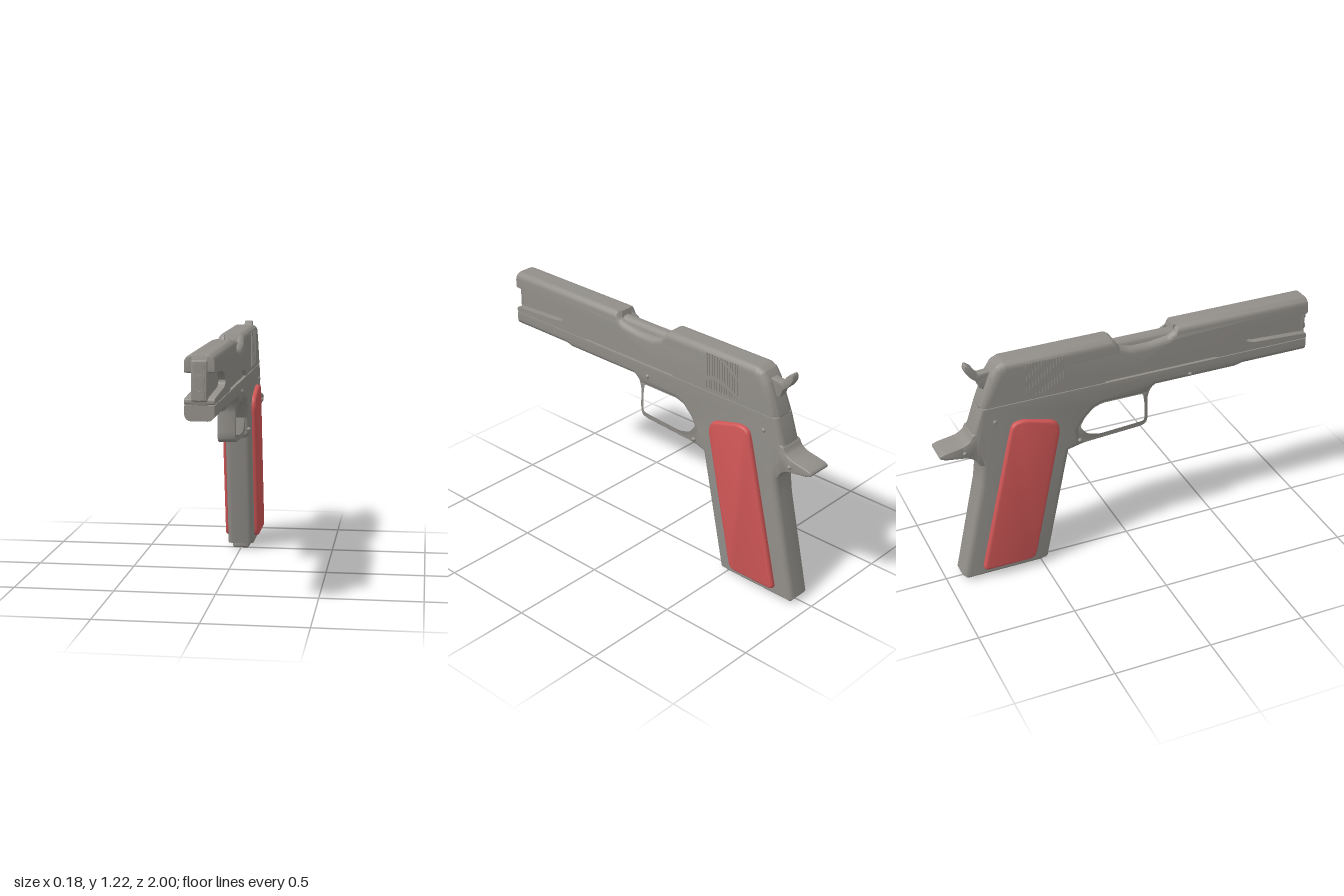
import * as THREE from 'three';
import { toCreasedNormals } from 'three/addons/utils/BufferGeometryUtils.js';
import { RoundedBoxGeometry } from 'three/addons/geometries/RoundedBoxGeometry.js';

const metal = new THREE.MeshStandardMaterial({ color: 0x928f8a });
const red = new THREE.MeshStandardMaterial({ color: 0xcf5656 });

// closed side outline from (z, y) points, each corner rounded by up to r
function outline(pts, r, Type = THREE.Shape) {
  const shape = new Type();
  const v = pts.map(p => new THREE.Vector2(...p));
  const n = v.length;
  v.forEach((p, i) => {
    const toward = q => p.clone().lerp(q, Math.min(r / p.distanceTo(q), 0.45));
    const a = toward(v[(i + n - 1) % n]), b = toward(v[(i + 1) % n]);
    if (i === 0) shape.moveTo(a.x, a.y); else shape.lineTo(a.x, a.y);
    shape.quadraticCurveTo(p.x, p.y, b.x, b.y);
  });
  shape.closePath();
  return shape;
}

// side outline extruded across the width from x0 to x1, with inward bevel
function across(shape, x0, x1, bevel = 0, steps = 1) {
  const geo = new THREE.ExtrudeGeometry(shape, {
    depth: x1 - x0 - 2 * bevel, steps, curveSegments: 4,
    bevelEnabled: bevel > 0, bevelThickness: bevel, bevelSize: bevel,
    bevelOffset: -bevel, bevelSegments: 5
  });
  geo.rotateY(-Math.PI / 2);
  return geo.translate(x1 - bevel, 0, 0);
}

// move every vertex by a rule
function reshape(geo, rule) {
  const p = geo.attributes.position, v = new THREE.Vector3();
  for (let i = 0; i < p.count; i++) {
    rule(v.fromBufferAttribute(p, i));
    p.setXYZ(i, v.x, v.y, v.z);
  }
  return geo;
}

export function createModel() {
  const model = new THREE.Group();
  const add = (name, geo, mat = metal) => {
    const mesh = new THREE.Mesh(toCreasedNormals(geo.index ? geo.toNonIndexed() : geo, 0.6), mat);
    mesh.name = name;
    model.add(mesh);
  };

  // slide: core, plus side slabs with nose scoops, top port and lower relief
  const rear = [[-0.65, 1.21], [-0.69, 1.195], [-0.72, 1.15], [-0.784, 0.989]];
  add('slideCore', across(outline([
    [0.978, 0.97], [0.978, 1.21], [0.235, 1.21], [0.235, 1.1], [-0.095, 1.1], [-0.095, 1.21], ...rear, [-0.775, 0.97]
  ], 0.003), -0.035, 0.035));
  const slab = outline([
    [0.98, 0.989], [0.98, 1.015], [0.68, 1.03], [0.64, 1.038], [0.63, 1.06], [0.66, 1.09], [0.72, 1.113],
    [0.98, 1.13], [0.98, 1.21], [0.25, 1.21], [0.235, 1.18], [0.2, 1.16], [0.1, 1.147], [0, 1.147],
    [-0.06, 1.165], [-0.08, 1.195], [-0.1, 1.21], ...rear,
    [-0.14, 0.989], [-0.13, 1.005], [-0.1, 1.025], [0, 1.03], [0.3, 1.03], [0.42, 1.015], [0.47, 0.989]
  ], 0.008);
  const inner = 0.035, round = 0.033;
  const roundTop = v => {
    const a = THREE.MathUtils.clamp((Math.abs(v.x) - inner) / round, 0, 1) * Math.PI / 2;
    const drop = round * (1 - Math.cos(a));
    v.x = Math.sign(v.x) * (inner + round * Math.sin(a));
    if (v.y > 1.14) v.y -= drop;
    if (v.z < -0.65) v.z += drop;
  };
  add('slideLeft', reshape(across(slab, inner, inner + round, 0, 6), roundTop));
  add('slideRight', reshape(across(slab, -inner - round, -inner, 0, 6), roundTop));
  add('reliefFloor', new THREE.BoxGeometry(0.104, 0.06, 0.62).translate(0, 1.005, 0.165));

  // barrel seen through the port
  add('barrel', new THREE.CylinderGeometry(0.036, 0.036, 0.34, 32).rotateX(Math.PI / 2).translate(0, 1.145, 0.07));

  // nose plate with three stepped round emitters
  add('nosePlate', new RoundedBoxGeometry(0.074, 0.185, 0.02, 3, 0.008).translate(0, 1.095, 0.976));
  for (const y of [1.155, 1.095, 1.035]) {
    add('emitterRing', new THREE.CylinderGeometry(0.026, 0.027, 0.03, 32).rotateX(Math.PI / 2).translate(0, y, 0.98));
    add('emitter', new THREE.CylinderGeometry(0.017, 0.019, 0.03, 32).rotateX(Math.PI / 2).translate(0, y, 0.985));
  }

  // rear serrations
  for (const s of [-1, 1]) for (let i = 0; i < 13; i++) {
    add('serration', new THREE.BoxGeometry(0.01, 0.18, 0.008).translate(s * 0.066, 1.1, -0.357 - i * 0.0157));
  }

  // frame and grip: rounded sides, but square at the top joint, nose and foot
  const frame = new THREE.Shape([
    [0.98, 0.985], [0.98, 0.915], [0.62, 0.915], [0.58, 0.905], [0.13, 0.905], [0.085, 0.87], [-0.15, 0.868],
    [-0.2, 0.85], [-0.25, 0.8], [-0.28, 0.75], [-0.27, 0.66], [-0.335, 0.64], [-0.464, 0.03], [-0.924, 0.03],
    [-0.81, 0.555], [-0.797, 0.66], [-0.81, 0.72], [-0.835, 0.76], [-0.83, 0.85], [-0.782, 0.985]
  ].map(p => new THREE.Vector2(...p)));
  add('frame', reshape(across(frame, -0.068, 0.068, 0.03), v => {
    if (v.y > 0.95) v.y = 0.985;
    if (v.z > 0.94) v.z = 0.98;
    if (v.y < 0.062) v.y = 0.03;
  }));

  // tail over the hand
  add('gripTail', across(outline([
    [-0.75, 0.86], [-0.828, 0.86], [-0.845, 0.825], [-0.88, 0.806], [-0.97, 0.79], [-1, 0.78],
    [-1, 0.764], [-0.97, 0.752], [-0.86, 0.735], [-0.825, 0.715], [-0.8, 0.67], [-0.75, 0.67]
  ], 0.015), -0.066, 0.066, 0.006));

  // trigger guard loop
  const guard = outline([
    [0.16, 0.915], [0.115, 0.887], [0.097, 0.84], [0.1, 0.72], [0.092, 0.685], [0.06, 0.674],
    [-0.25, 0.655], [-0.36, 0.63], [-0.4, 0.7], [-0.4, 0.915]
  ], 0.02);
  guard.holes.push(outline([
    [0.076, 0.867], [0.085, 0.8], [0.085, 0.705], [0.065, 0.697], [-0.17, 0.682], [-0.235, 0.7],
    [-0.275, 0.75], [-0.25, 0.8], [-0.2, 0.85], [-0.15, 0.867]
  ], 0.02, THREE.Path));
  add('triggerGuard', across(guard, -0.046, 0.046, 0.005));

  // coloured grip panels
  const panel = outline([
    [-0.388, 0.79], [-0.405, 0.845], [-0.58, 0.892], [-0.635, 0.88], [-0.655, 0.8],
    [-0.825, 0.055], [-0.55, 0.055], [-0.535, 0.09]
  ], 0.03);
  add('leftGripPanel', across(panel, 0.05, 0.092, 0.014), red);
  add('rightGripPanel', across(panel, -0.092, -0.05, 0.014), red);

  // foot plate under the grip
  add('footPlate', new RoundedBoxGeometry(0.09, 0.05, 0.42, 4, 0.012).translate(0, 0.025, -0.695));

  // hammer
  add('hammer', across(outline([
    [-0.68, 1.165], [-0.775, 1.157], [-0.8, 1.2], [-0.832, 1.222], [-0.838, 1.185], [-0.81, 1.145],
    [-0.778, 1.12], [-0.768, 1.08], [-0.7, 1.06]
  ], 0.015), -0.022, 0.022, 0.004));

  // side pins
  for (const s of [-1, 1]) {
    const spots = [[s > 0 ? 0.03 : 0.32, 0.93], [-0.28, 0.69], [-0.715, 0.907], [-0.875, 0.768]];
    for (const [z, y] of spots) {
      add('pin', new THREE.SphereGeometry(0.011, 16, 12).translate(s * 0.067, y, z));
    }
  }
  return model;
}
